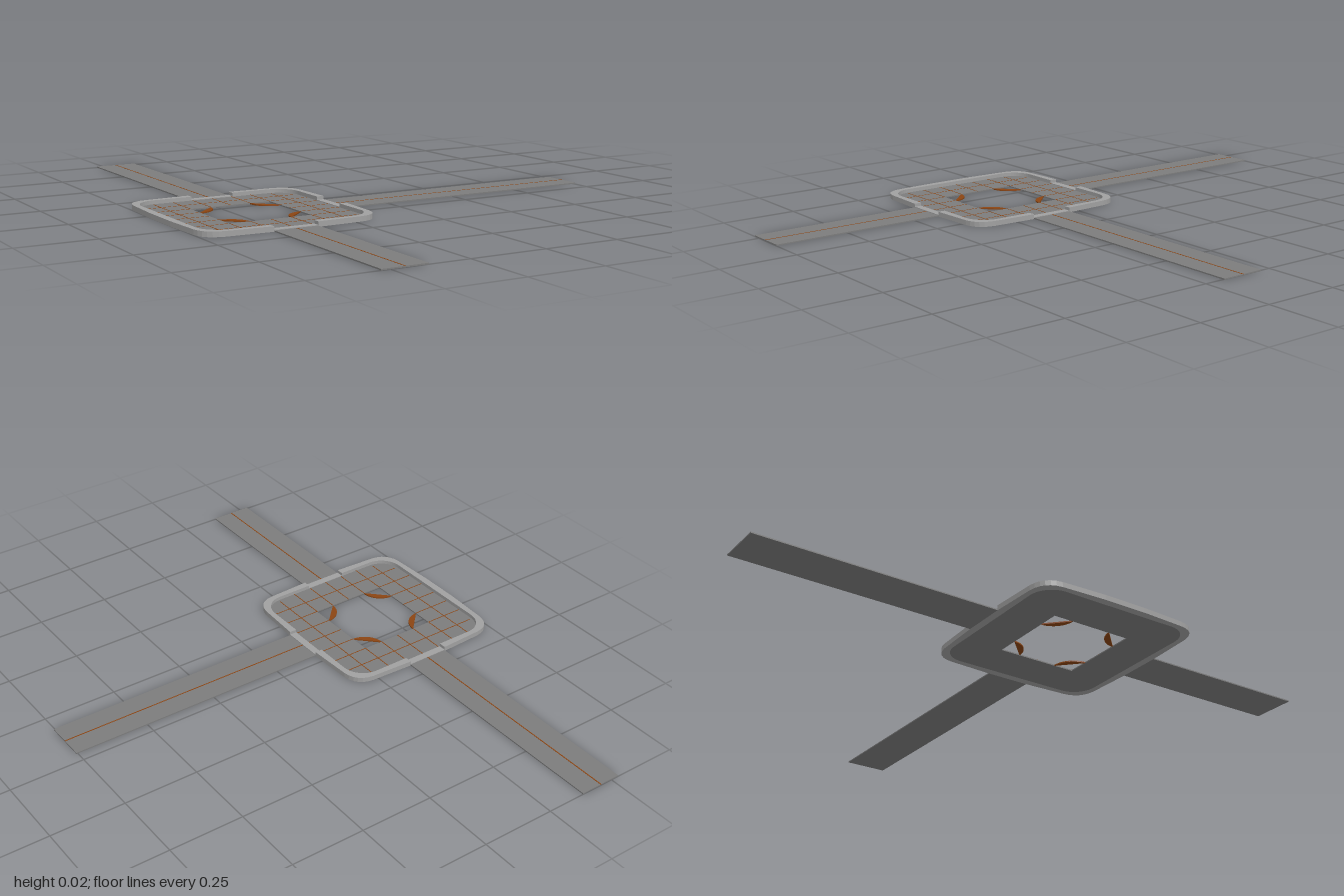
import * as THREE from 'three';

const mat = (color) => new THREE.MeshStandardMaterial({ color, flatShading: true });

export function createModel() {
  const model = new THREE.Group();
  model.name = 'roadJunction';
  const asphalt = mat(0x7c7c7c), stone = mat(0xa0a0a0), brown = mat(0x8b4513);

  // plaza is built around its own centre
  const plaza = new THREE.Group();
  plaza.name = 'plaza';
  plaza.position.set(-0.455, 0, 0.11);
  model.add(plaza);

  const FLOOR = 0.004, OUT = 0.3, IN = 0.275, GAP = 0.073, HOLE = 0.138;

  const add = (parent, name, geometry, material) => {
    const mesh = new THREE.Mesh(geometry, material);
    mesh.name = name;
    parent.add(mesh);
    return mesh;
  };
  // box given by its x and z range
  const slab = (parent, name, x0, x1, z0, z1, y0, y1, material) => {
    const mesh = add(parent, name, new THREE.BoxGeometry(x1 - x0, y1 - y0, z1 - z0), material);
    mesh.position.set((x0 + x1) / 2, (y0 + y1) / 2, (z0 + z1) / 2);
    return mesh;
  };
  const extrudeUp = (shape, depth) =>
    new THREE.ExtrudeGeometry(shape, { depth, bevelEnabled: false, curveSegments: 6 }).rotateX(-Math.PI / 2);

  // floor ring: rounded square with a square hole
  const r = 0.075, c = IN - r;
  const floor = new THREE.Shape();
  floor.absarc(c, c, r, 0, Math.PI / 2);
  floor.absarc(-c, c, r, Math.PI / 2, Math.PI);
  floor.absarc(-c, -c, r, Math.PI, Math.PI * 1.5);
  floor.absarc(c, -c, r, Math.PI * 1.5, Math.PI * 2);
  floor.closePath();
  floor.holes.push(new THREE.Path([
    new THREE.Vector2(-HOLE, -HOLE), new THREE.Vector2(-HOLE, HOLE),
    new THREE.Vector2(HOLE, HOLE), new THREE.Vector2(HOLE, -HOLE),
  ]));
  add(plaza, 'floor', extrudeUp(floor, FLOOR), asphalt);

  // raised corner curb
  const curb = new THREE.Shape();
  curb.moveTo(OUT, GAP);
  curb.lineTo(0.293, 0.225);
  curb.quadraticCurveTo(0.287, 0.287, 0.225, 0.293);
  curb.lineTo(GAP, OUT);
  curb.lineTo(GAP, IN);
  curb.lineTo(c, IN);
  curb.absarc(c, c, r, Math.PI / 2, 0, true);
  curb.lineTo(IN, GAP);
  curb.closePath();
  const curbGeometry = extrudeUp(curb, 0.0165);

  // quarter disc in each corner of the hole
  const disc = new THREE.Shape();
  disc.moveTo(HOLE, HOLE);
  disc.absarc(HOLE, HOLE, 0.069, Math.PI, Math.PI * 1.5);
  disc.closePath();
  const discGeometry = extrudeUp(disc, FLOOR);

  for (let i = 0; i < 4; i++) {
    const side = new THREE.Group();
    side.name = 'side' + (i + 1);
    side.rotation.y = i * Math.PI / 2;
    plaza.add(side);
    add(side, 'cornerCurb', curbGeometry, stone);
    add(side, 'cornerDisc', discGeometry, brown);
    // side 3 has no road, so its curb runs through at full height
    const closed = i === 2;
    slab(side, closed ? 'sideCurb' : 'droppedCurb', IN, OUT, -GAP, GAP, 0, closed ? 0.0165 : 0.006, stone);

    // paving joints across and along this side
    const joint = (x0, x1, z0, z1) => slab(side, 'joint', x0, x1, z0, z1, FLOOR - 0.001, FLOOR + 0.0004, brown);
    for (let k = -2; k <= 2; k++) joint(HOLE, IN, k * 0.069 - 0.0015, k * 0.069 + 0.0015);
    joint(0.2055, 0.2085, -0.265, 0.265);
  }

  // three roads with a thin centre line
  const road = (name, x0, x1, z0, z1) => {
    const group = new THREE.Group();
    group.name = name;
    model.add(group);
    slab(group, 'surface', x0, x1, z0, z1, 0, FLOOR, asphalt);
    const cx = (x0 + x1) / 2, cz = (z0 + z1) / 2, w = 0.002;
    const alongX = x1 - x0 > z1 - z0;
    slab(group, 'centreLine', alongX ? x0 : cx - w, alongX ? x1 : cx + w,
      alongX ? cz - w : z0, alongX ? cz + w : z1, FLOOR - 0.001, FLOOR + 0.0004, brown);
  };
  road('backRoad', -0.528, -0.382, -1, -0.19);
  road('frontRoad', -0.528, -0.382, 0.41, 1);
  road('leftRoad', -0.155, 0.755, 0.037, 0.183);

  return model;
}
